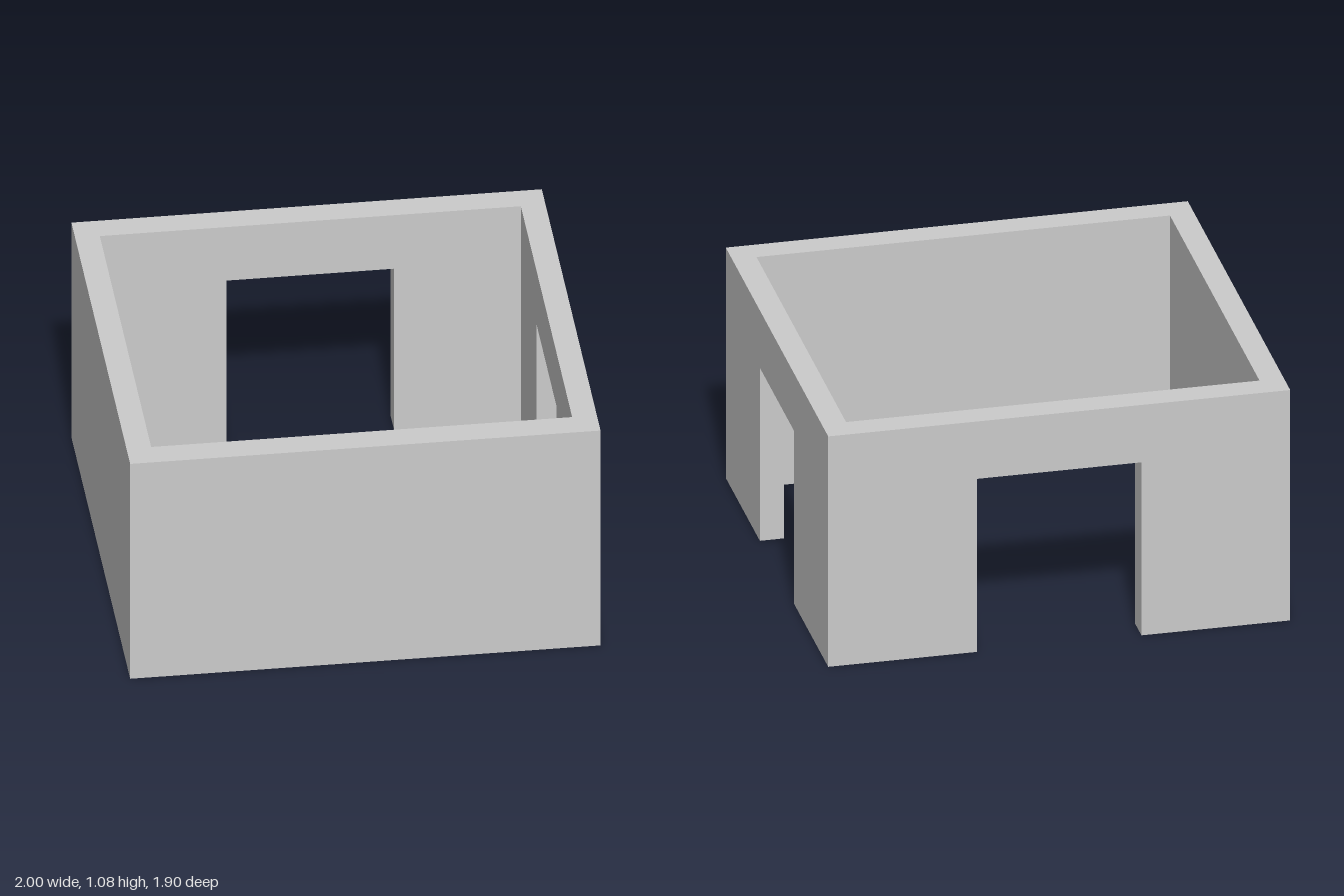
import * as THREE from 'three';
import { mergeGeometries } from 'three/addons/utils/BufferGeometryUtils.js';

const HALF_X = 1, HALF_Z = 0.95, HEIGHT = 1.076;
const THICK_X = 0.105, THICK_Z = 0.12;
const DOOR_HEIGHT = 0.808;

// One wall facing +z, mitred at both ends, then turned about y.
// door is the half width of a centred doorway (0 for none).
function wall(half, distance, thickness, endThickness, door, angle) {
  const outline = [[-half, 0]];
  if (door) outline.push([-door, 0], [-door, DOOR_HEIGHT], [door, DOOR_HEIGHT], [door, 0]);
  outline.push([half, 0], [half, HEIGHT], [-half, HEIGHT]);
  const shape = new THREE.Shape(outline.map(([x, y]) => new THREE.Vector2(x, y)));
  const solid = new THREE.ExtrudeGeometry(shape, { depth: thickness, bevelEnabled: false });

  // Pull the inner corners in to form the mitre, and leave out the hidden end faces.
  const source = solid.attributes.position;
  const kept = [];
  for (let i = 0; i < source.count; i += 3) {
    const corners = [0, 1, 2].map((k) => new THREE.Vector3().fromBufferAttribute(source, i + k));
    const sumX = corners[0].x + corners[1].x + corners[2].x;
    if (Math.abs(sumX) > 3 * half - 1e-4) continue; // all three corners on the same end
    for (const c of corners) {
      const inner = c.z < thickness / 2;
      if (inner && Math.abs(c.x) > half - 1e-4) c.x = Math.sign(c.x) * (half - endThickness);
      kept.push(c.x, c.y, c.z);
    }
  }
  const geometry = new THREE.BufferGeometry();
  geometry.setAttribute('position', new THREE.Float32BufferAttribute(kept, 3));
  geometry.translate(0, 0, distance - thickness);
  geometry.rotateY(angle);
  geometry.computeVertexNormals();
  return geometry;
}

export function createModel() {
  const group = new THREE.Group();
  group.name = 'roofless room';

  // The front and -x walls are solid; the +x and back walls have doorways.
  const walls = new THREE.Mesh(
    mergeGeometries([
      wall(HALF_X, HALF_Z, THICK_Z, THICK_X, 0, 0),
      wall(HALF_Z, HALF_X, THICK_X, THICK_Z, 0.318, Math.PI / 2),
      wall(HALF_X, HALF_Z, THICK_Z, THICK_X, 0.356, Math.PI),
      wall(HALF_Z, HALF_X, THICK_X, THICK_Z, 0, -Math.PI / 2),
    ]),
    new THREE.MeshStandardMaterial({ color: 0xcccccc, flatShading: true }),
  );
  walls.name = 'walls';
  group.add(walls);
  return group;
}
